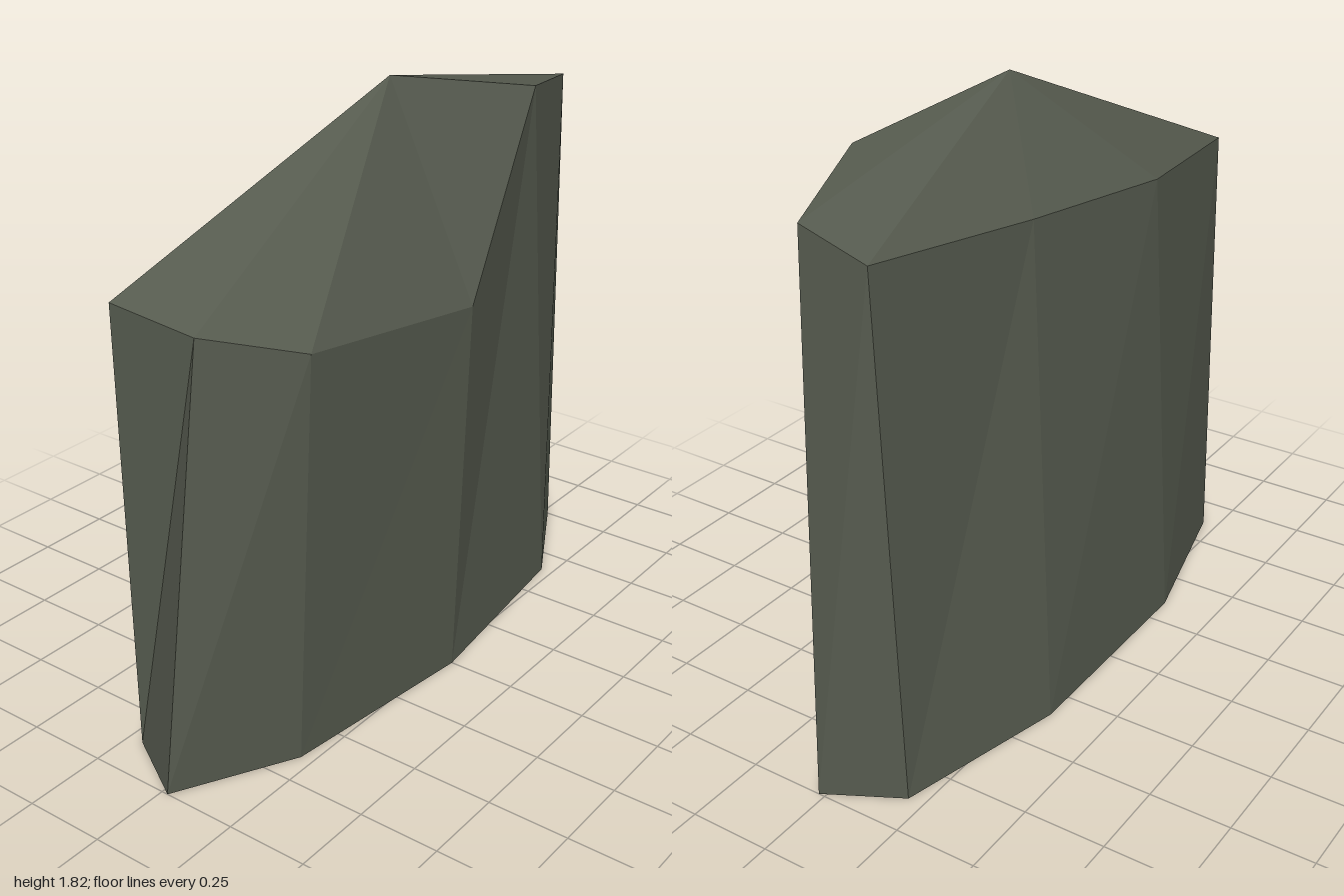
import * as THREE from 'three';

export function createModel() {
  const stone = new THREE.MeshStandardMaterial({ color: 0x555a4e, flatShading: true });
  stone.name = 'stone';

  // Footprint and upper rim, anticlockwise from above
  const base = [
    [-0.2, 0, 0.87], [0.02, 0, 1], [0.21, 0, 0.65], [0.285, 0, 0], [0.21, 0, -0.65],
    [0.02, 0, -1], [-0.2, 0, -0.88], [-0.33, 0, -0.35], [-0.33, 0, 0.35],
  ];
  const rim = [
    [-0.15, 1.395, 0.93], [0.07, 1.33, 0.86], [0.265, 1.26, 0.64], [0.33, 1.2, 0], [0.21, 1.71, -0.49],
    [0.07, 1.645, -0.885], [-0.14, 1.58, -0.885], [-0.22, 1.52, -0.28], [-0.255, 1.455, 0.33],
  ];
  const peak = [0.04, 1.815, 0];
  const centre = [0, 0, 0];

  const group = new THREE.Group();
  group.name = 'rock';

  // Make a faceted mesh from the triangles each step round the ring gives
  function addPart(name, trianglesAt) {
    const points = base.flatMap((_, i) => trianglesAt(i, (i + 1) % base.length));
    const geometry = new THREE.BufferGeometry();
    geometry.setAttribute('position', new THREE.Float32BufferAttribute(points.flat(), 3));
    geometry.computeVertexNormals();
    const mesh = new THREE.Mesh(geometry, stone);
    mesh.name = name;
    group.add(mesh);
  }

  addPart('sides', (i, j) => [base[i], base[j], rim[j], base[i], rim[j], rim[i]]);
  addPart('crown', (i, j) => [rim[i], rim[j], peak]);
  addPart('underside', (i, j) => [centre, base[j], base[i]]);

  return group;
}
